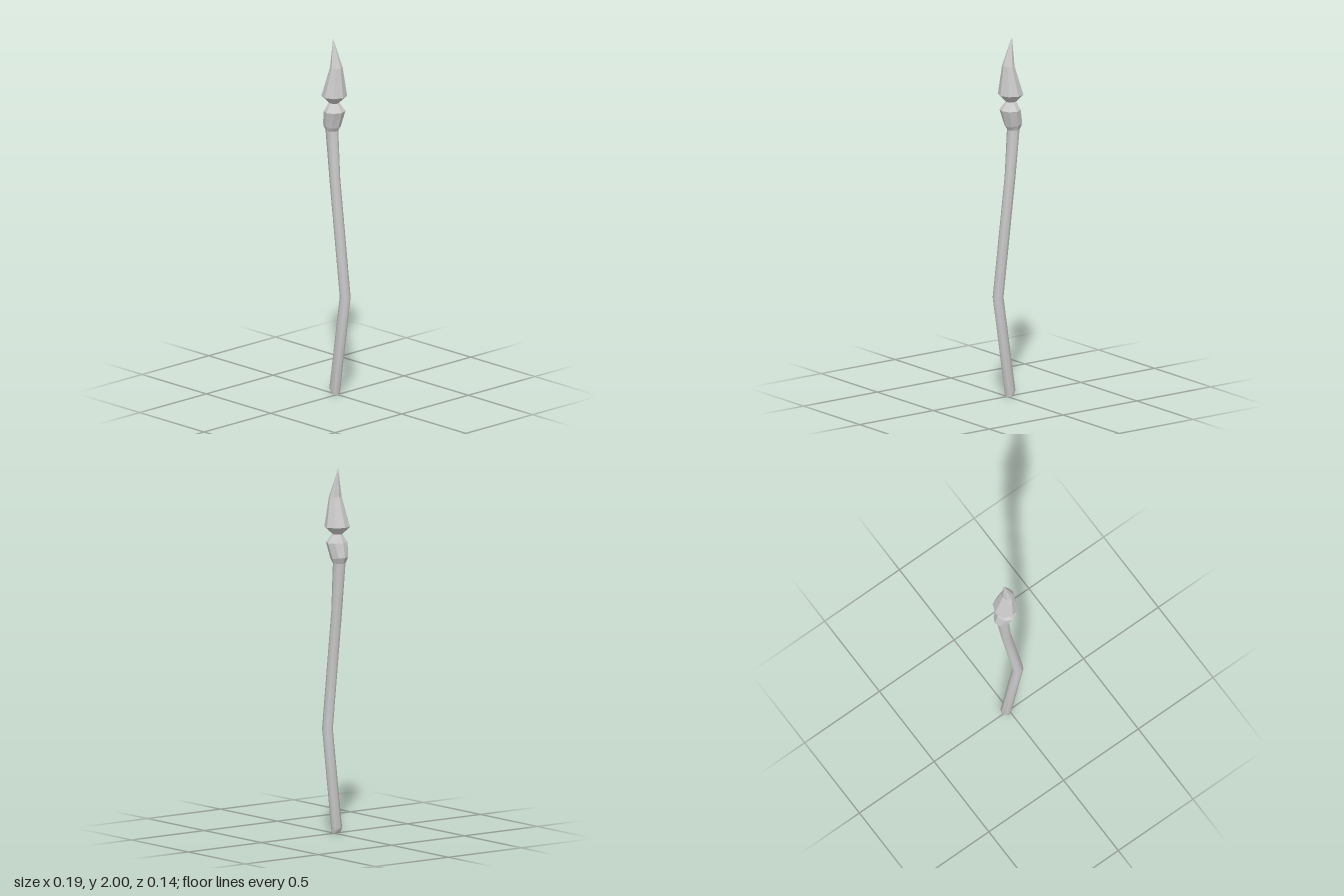
import * as THREE from 'three';
import { toCreasedNormals } from 'three/addons/utils/BufferGeometryUtils.js';

const SIDES = 8;

// Skins a stack of octagonal rings [centreX, y, radiusX, radiusZ, tilt], bottom to top.
function loft(rings, capBottom, capTop) {
  const pos = [], idx = [];
  for (const [cx, y, rx, rz, tilt = 0] of rings) {
    for (let i = 0; i < SIDES; i++) {
      const a = (i / SIDES) * Math.PI * 2, dx = rx * Math.cos(a);
      pos.push(cx + dx, y + tilt * dx, rz * Math.sin(a));
    }
  }
  const last = (rings.length - 1) * SIDES;
  for (let r = 0; r < last; r += SIDES) {
    for (let i = 0; i < SIDES; i++) {
      const j = (i + 1) % SIDES;
      idx.push(r + i, r + SIDES + i, r + j);
      idx.push(r + j, r + SIDES + i, r + SIDES + j);
    }
  }
  for (let i = 1; i < SIDES - 1; i++) {
    if (capBottom) idx.push(0, i, i + 1);
    if (capTop) idx.push(last, last + i + 1, last + i);
  }
  const geo = new THREE.BufferGeometry();
  geo.setAttribute('position', new THREE.Float32BufferAttribute(pos, 3));
  geo.setIndex(idx);
  return geo;
}

export function createModel() {
  const group = new THREE.Group();
  const smooth = new THREE.MeshStandardMaterial({ color: 0xcccccc });
  const faceted = new THREE.MeshStandardMaterial({ color: 0xcccccc, flatShading: true });
  const add = (name, geo, mat) => {
    const mesh = new THREE.Mesh(geo, mat);
    mesh.name = name;
    group.add(mesh);
  };

  // Bent shaft with a bevelled foot, an elbow and a slightly swollen top
  const shaft = loft([
    [-0.014, 0.005, 0.021, 0.024, -0.2],
    [-0.02, 0.027, 0.03, 0.029, -0.3],
    [0.061, 0.565, 0.031, 0.028],
    [-0.02, 1.22, 0.03, 0.029],
    [-0.042, 1.485, 0.035, 0.034],
  ], true, false);
  add('shaft', toCreasedNormals(shaft, 0.9), smooth);

  // Leaning collar that narrows to the neck
  add('collar', loft([
    [-0.042, 1.485, 0.035, 0.034],
    [-0.043, 1.512, 0.05, 0.046, -0.15],
    [-0.021, 1.597, 0.056, 0.061],
    [-0.026, 1.643, 0.029, 0.027],
  ], false, false), faceted);

  // Curved spearhead
  add('spearhead', loft([
    [-0.026, 1.643, 0.029, 0.027],
    [-0.024, 1.683, 0.069, 0.07],
    [-0.008, 1.845, 0.033, 0.036],
    [-0.033, 2.0, 0.0005, 0.0005],
  ], false, true), faceted);

  return group;
}
